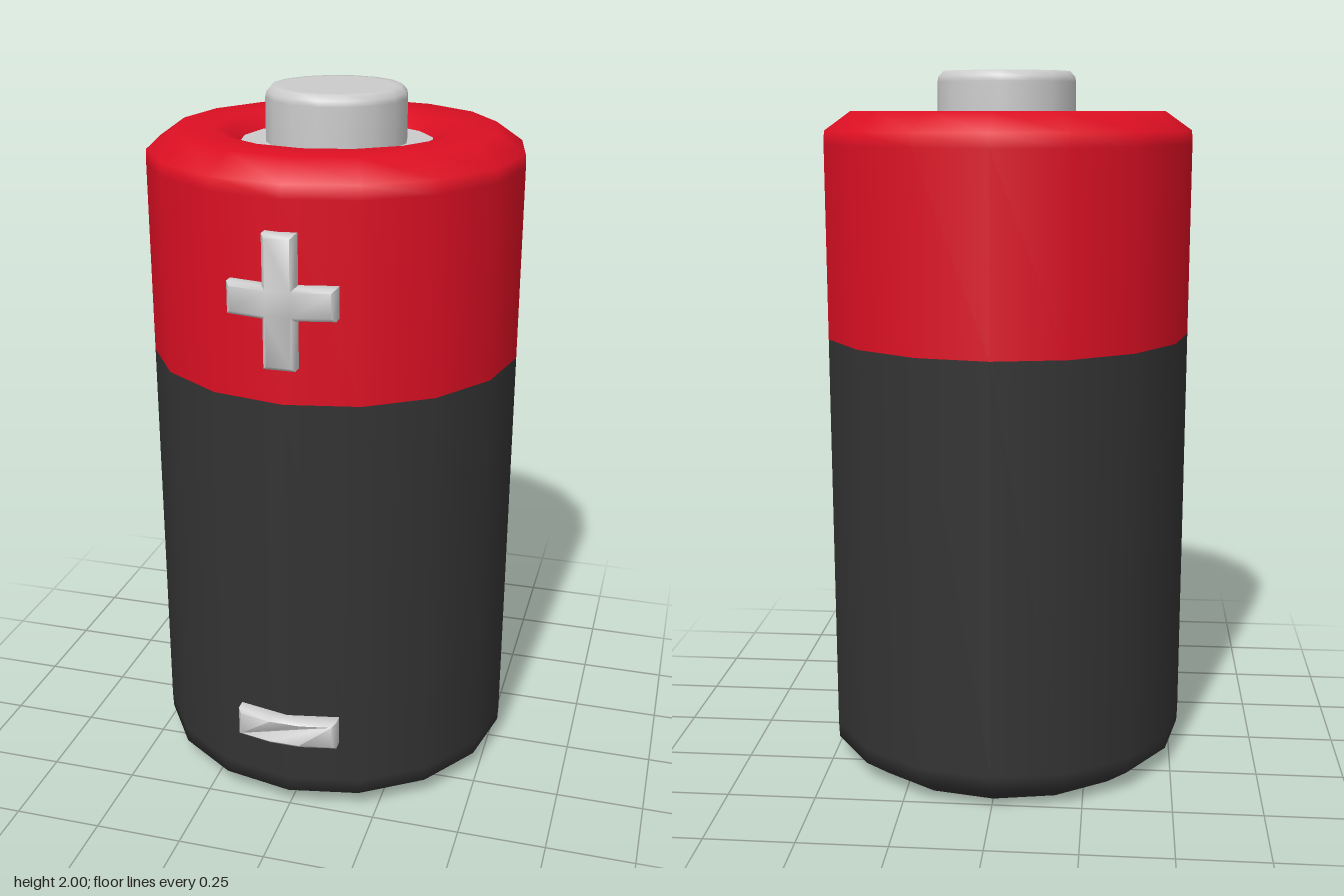
import * as THREE from 'three';
import { toCreasedNormals } from 'three/addons/utils/BufferGeometryUtils.js';

const SIDES = 16;
const grey = new THREE.MeshStandardMaterial({ color: 0xcccccc });
const red = new THREE.MeshStandardMaterial({ color: 0xdc0f23 });
const black = new THREE.MeshStandardMaterial({ color: 0x333333 });

// Revolved part; the profile of [radius, y] runs from the bottom centre outwards and up
function lathe(name, profile, material) {
  const points = profile.map(([r, y]) => new THREE.Vector2(r, y));
  const mesh = new THREE.Mesh(new THREE.LatheGeometry(points, SIDES), material);
  mesh.name = name;
  return mesh;
}

// Raised sign, bevelled and bent around the body
function sign(name, outline, y) {
  const bevel = 0.01;
  const shape = new THREE.Shape(outline.map(([px, py]) => new THREE.Vector2(px, py)));
  let geometry = new THREE.ExtrudeGeometry(shape, {
    depth: 0.05, bevelEnabled: true, bevelThickness: bevel, bevelSize: bevel,
    bevelOffset: -bevel, bevelSegments: 1,
  });
  const p = geometry.attributes.position;
  for (let i = 0; i < p.count; i++) p.setZ(i, p.getZ(i) - 1.1 * p.getX(i) ** 2);
  geometry = toCreasedNormals(geometry, 0.9);
  const mesh = new THREE.Mesh(geometry, grey);
  mesh.name = name;
  mesh.position.set(0, y, 0.488);
  return mesh;
}

export function createModel() {
  const model = new THREE.Group();
  model.name = 'battery';

  const cell = new THREE.Group();
  cell.name = 'cell';
  cell.position.z = -0.0125;
  cell.add(
    // Casing: bevelled rims that dip towards the terminals
    lathe('lowerCasing', [
      [0.233, 0.03], [0.27, 0.006], [0.31, 0], [0.45, 0], [0.525, 0.055], [0.527, 0.1], [0.527, 1.26],
    ], black),
    lathe('upperCasing', [
      [0.527, 1.26], [0.527, 1.8], [0.525, 1.837], [0.45, 1.89], [0.34, 1.89], [0.3, 1.878], [0.27, 1.85],
    ], red),
    // Terminals
    lathe('negativeTerminal', [[0, 0.03], [0.235, 0.03]], grey),
    lathe('positiveTerminalRing', [[0.275, 1.85], [0.18, 1.85]], grey),
    lathe('positiveTerminal', [
      [0.197, 1.84], [0.197, 1.97], [0.194, 1.985], [0.18, 2], [0.16, 2], [0, 2],
    ], grey),
  );
  model.add(cell);

  // Signs on the front
  const w = 0.145, h = 0.178, t = 0.043;
  model.add(
    sign('plusSign', [
      [-t, -h], [t, -h], [t, -t], [w, -t], [w, t], [t, t],
      [t, h], [-t, h], [-t, t], [-w, t], [-w, -t], [-t, -t],
    ], 1.54),
    sign('minusSign', [
      [-w, -t], [-t, -t], [t, -t], [w, -t], [w, t], [t, t], [-t, t], [-w, t],
    ], 0.27),
  );
  return model;
}
